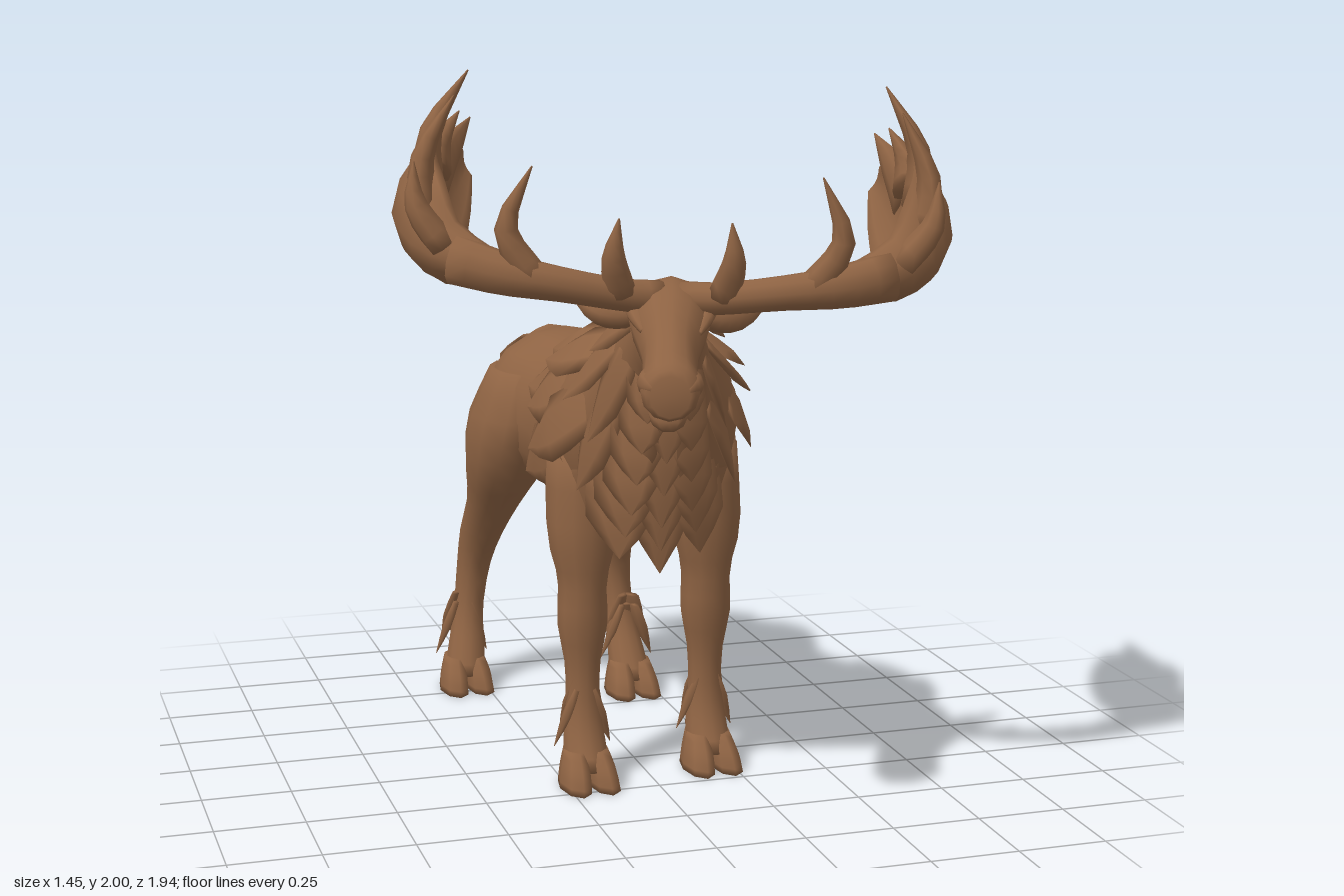
import * as THREE from 'three';

const fur = new THREE.MeshStandardMaterial({ color: 0x8e6343 });
fur.name = 'brown fur';
const V = (x, y, z) => new THREE.Vector3(x, y, z);
const X = V(1, 0, 0), Y = V(0, 1, 0), Z = V(0, 0, 1);

// Smooth loft through elliptical sections [x, y, z, radiusA, radiusB].
// With axes the rings keep a fixed plane, otherwise they follow the path with B along ref.
// curl bends the B ends of each ring towards A, the lower end more, making a scoop.
function loft(name, pts, { seg = 10, rings = pts.length * 2, axes = null, ref = Y, curl = 0 } = {}) {
  const path = new THREE.CatmullRomCurve3(pts.map(p => V(p[0], p[1], p[2])), false, 'catmullrom', 0.5);
  const radii = new THREE.CatmullRomCurve3(pts.map(p => V(p[3], p[4], 0)), false, 'catmullrom', 0.5);
  const pos = [], index = [];
  for (let i = 0; i <= rings; i++) {
    const t = i / rings, c = path.getPoint(t), r = radii.getPoint(t);
    let [A, B] = axes || [];
    if (!axes) {
      const T = path.getTangent(t);
      B = ref.clone().addScaledVector(T, -ref.dot(T)).normalize();
      A = B.clone().cross(T);
    }
    for (let j = 0; j < seg; j++) {
      const a = (j / seg) * Math.PI * 2, ra = Math.max(r.x, 0.001), rb = Math.max(r.y, 0.001);
      const sin = Math.sin(a), bend = curl * rb * sin * sin * (sin < 0 ? 1 : 0.5);
      const p = c.clone().addScaledVector(A, Math.cos(a) * ra + bend).addScaledVector(B, sin * rb);
      pos.push(p.x, p.y, p.z);
      const k = i * seg + j, n = i * seg + (j + 1) % seg;
      if (i < rings) index.push(k, n, k + seg, n, n + seg, k + seg);
    }
  }
  // end caps
  const s = pos.length / 3, last = rings * seg;
  for (const t of [0, 1]) pos.push(...path.getPoint(t).toArray());
  for (let j = 0; j < seg; j++) {
    const n = (j + 1) % seg;
    index.push(s, n, j, s + 1, last + j, last + n);
  }
  const g = new THREE.BufferGeometry();
  g.setAttribute('position', new THREE.Float32BufferAttribute(pos, 3));
  g.setIndex(index);
  g.computeVertexNormals();
  const m = new THREE.Mesh(g, fur);
  m.name = name;
  return m;
}

// Flat pointed lock of hair through three points; normal is the thin direction
function lock(name, a, b, c, w, normal) {
  return loft(name, [[...a, w * 0.8, 0.01], [...b, w, 0.014], [...c, 0.001, 0.001]],
    { seg: 6, rings: 4, ref: normal });
}

// Torso and neck: z, centre x, top, bottom, half width
const BODY = [
  [-0.82, -0.04, 1.06, 0.88, 0.06], [-0.76, -0.04, 1.13, 0.78, 0.17], [-0.62, -0.04, 1.175, 0.73, 0.25],
  [-0.5, -0.03, 1.18, 0.71, 0.25], [-0.38, -0.02, 1.16, 0.68, 0.205], [-0.2, -0.01, 1.19, 0.63, 0.225],
  [0, 0, 1.3, 0.66, 0.26], [0.12, 0, 1.32, 0.7, 0.265], [0.25, -0.01, 1.33, 0.77, 0.22],
  [0.4, -0.05, 1.41, 0.93, 0.15], [0.55, -0.08, 1.45, 1.15, 0.11], [0.63, -0.1, 1.47, 1.25, 0.085]];

function section(z) {
  let i = 0;
  while (i < BODY.length - 2 && z > BODY[i + 1][0]) i++;
  const t = THREE.MathUtils.clamp((z - BODY[i][0]) / (BODY[i + 1][0] - BODY[i][0]), 0, 1);
  return BODY[i].map((v, k) => THREE.MathUtils.lerp(v, BODY[i + 1][k], t));
}
// Point on the torso at angle a from the top, lifted by off
function onBody(z, a, off) {
  const [, cx, top, bot, rx] = section(z);
  return [cx + Math.sin(a) * (rx + off), (top + bot) / 2 + Math.cos(a) * ((top - bot) / 2 + off), z];
}

function addMane(root) {
  const mane = new THREE.Group();
  mane.name = 'mane';
  // start z, widest angle, locks each side, backward length, downward swing
  const rows = [[-0.01, 0.95, 2, 0.2, 0.1], [0.12, 1.55, 3, 0.22, 0.16], [0.27, 2.15, 3, 0.24, 0.25],
    [0.41, 2.4, 3, 0.2, 0.35], [0.54, 2.5, 3, 0.15, 0.3]];
  rows.forEach(([z, amax, n, len, swing], r) => {
    for (let i = -n; i <= n; i++) {
      const a = (i + (r % 2) * 0.25 * Math.sign(i)) / n * amax;
      const d = Math.sign(i) * swing, l = len * (1 + 0.2 * Math.sin(i * 5 + r * 3));
      const w = 0.45 * section(z)[4] * (amax / n) + 0.03;
      mane.add(lock('maneLock', onBody(z, a, -0.012), onBody(z - l * 0.5, a + d * 0.5, 0.015),
        onBody(z - l, a + d, 0.05), w, V(Math.sin(a), Math.cos(a), 0)));
    }
  });
  // hanging throat and chest hair
  for (let i = 0; i < 6; i++) {
    const z = 0.57 - i * 0.058, [, cx, , bot, rx] = section(z), k = 0.5 + i * 0.1;
    for (const s of [-1, 0, 1]) {
      const x = cx + s * rx * 0.55, drop = (s ? 0.12 : 0.17) * k;
      mane.add(lock('chestLock', [x, bot + 0.14, z - 0.01], [x, bot, z + 0.02],
        [x * 1.02, bot - drop, z + 0.025], 0.055 + i * 0.008, V(s * 0.5, 0, 1)));
    }
  }
  root.add(mane);
}

// Leg sections: y, z, half width, half depth
const FRONT = [[0.95, 0.06, 0.09, 0.14], [0.72, 0.085, 0.1, 0.105], [0.58, 0.085, 0.07, 0.08],
  [0.46, 0.085, 0.073, 0.068], [0.34, 0.08, 0.052, 0.05], [0.22, 0.08, 0.05, 0.048],
  [0.13, 0.09, 0.06, 0.06], [0.05, 0.115, 0.065, 0.075]];
const HIND = [[1.06, -0.58, 0.09, 0.15], [0.9, -0.57, 0.135, 0.2], [0.75, -0.575, 0.12, 0.15],
  [0.63, -0.625, 0.085, 0.105], [0.5, -0.71, 0.065, 0.095], [0.38, -0.735, 0.052, 0.066],
  [0.24, -0.705, 0.048, 0.05], [0.13, -0.655, 0.058, 0.06], [0.05, -0.62, 0.065, 0.075]];

function addLeg(root, name, secs, xTop, xFoot, shift) {
  const leg = new THREE.Group();
  leg.name = name;
  const top = secs[0][0];
  const pts = secs.map(([y, z, rx, rz]) => {
    const t = 1 - y / top;
    return [THREE.MathUtils.lerp(xTop, xFoot, t), y, z + shift * t, rx, rz];
  });
  leg.add(loft(name + 'Limb', pts, { axes: [X, Z], seg: 12 }));
  const [x, , z] = pts[pts.length - 1];
  // cloven hoof
  for (const s of [-1, 1]) leg.add(loft('hoofToe', [[x + s * 0.032, 0.1, z - 0.01, 0.03, 0.06],
    [x + s * 0.038, 0.05, z + 0.015, 0.04, 0.085], [x + s * 0.042, 0, z + 0.025, 0.043, 0.1]],
  { axes: [X, Z], seg: 8 }));
  // shaggy fetlock
  for (let i = 0; i < 5; i++) {
    const a = Math.PI + (i - 2) * 0.65, c = Math.cos(a), s = Math.sin(a), h = i % 2 ? 0.03 : 0;
    leg.add(lock('fetlockHair', [x + s * 0.02, 0.27 + h, z - 0.02 + c * 0.02],
      [x + s * 0.05, 0.19 + h, z - 0.02 + c * 0.06], [x + s * 0.085, 0.1 + h, z - 0.02 + c * 0.1], 0.035, V(s, 0, c)));
  }
  root.add(leg);
}

function addAntler(head, s) {
  const antler = new THREE.Group();
  antler.name = s > 0 ? 'leftAntler' : 'rightAntler';
  const part = (name, pts, opt) => antler.add(loft(name, pts.map(p => [p[0] * s, ...p.slice(1)]), opt));
  part('beam', [[0.03, -0.01, 0.04, 0.045, 0.045], [0.13, 0, 0.08, 0.04, 0.042], [0.28, 0.025, 0.115, 0.042, 0.045],
    [0.42, 0.045, 0.11, 0.048, 0.055], [0.55, 0.07, 0.06, 0.05, 0.065]]);
  part('palm', [[0.46, 0.05, 0.1, 0.035, 0.05], [0.6, 0.085, 0.03, 0.045, 0.095], [0.67, 0.14, -0.09, 0.045, 0.155],
    [0.69, 0.16, -0.24, 0.042, 0.175], [0.67, 0.18, -0.38, 0.035, 0.16], [0.63, 0.21, -0.5, 0.028, 0.11],
    [0.58, 0.25, -0.59, 0.012, 0.04]], { seg: 14, curl: 0.7 * s });
  // upright tines, broad at the palm
  const tines = [
    [[0.13, 0.01, 0.09], [0.15, 0.1, 0.14], [0.14, 0.2, 0.15], 0.04],
    [[0.34, 0.03, 0.11], [0.42, 0.16, 0.13], [0.36, 0.32, 0.14], 0.048],
    [[0.58, 0.1, 0.04], [0.65, 0.2, 0.05], [0.66, 0.31, 0.04], 0.06],
    [[0.635, 0.17, -0.05], [0.645, 0.31, -0.06], [0.57, 0.47, -0.07], 0.085],
    [[0.64, 0.22, -0.24], [0.64, 0.36, -0.27], [0.55, 0.52, -0.31], 0.11],
    [[0.63, 0.24, -0.37], [0.625, 0.32, -0.41], [0.58, 0.4, -0.46], 0.085]];
  for (const [a, b, c, w] of tines)
    part('tine', [[...a, 0.04, w], [...b, 0.03, w * 0.7], [...c, 0.002, 0.002]], { seg: 8, ref: Z });
  // backward tines
  for (const [a, b, c] of [[[0.63, 0.22, -0.42], [0.605, 0.29, -0.53], [0.56, 0.37, -0.63]],
    [[0.65, 0.11, -0.34], [0.63, 0.12, -0.46], [0.59, 0.18, -0.6]]])
    part('backTine', [[...a, 0.03, 0.08], [...b, 0.027, 0.05], [...c, 0.002, 0.002]], { seg: 8 });
  head.add(antler);
}

function addHead(root) {
  const head = new THREE.Group();
  head.name = 'head';
  head.position.set(-0.09, 1.46, 0.62);
  head.rotation.set(0, -0.29, -0.04);
  head.add(loft('skull', [[0, -0.08, -0.1, 0.08, 0.09], [0, -0.07, 0, 0.105, 0.11], [0, -0.085, 0.1, 0.095, 0.1],
    [0, -0.135, 0.19, 0.07, 0.088], [0, -0.175, 0.265, 0.07, 0.08], [0, -0.195, 0.33, 0.075, 0.075],
    [0, -0.205, 0.36, 0.05, 0.052]], { axes: [X, Y], seg: 12 }));
  head.add(loft('lowerJaw', [[0, -0.15, 0.0, 0.07, 0.07], [0, -0.185, 0.1, 0.06, 0.075],
    [0, -0.23, 0.2, 0.055, 0.06], [0, -0.265, 0.265, 0.05, 0.045], [0, -0.28, 0.3, 0.025, 0.02]], { axes: [X, Y] }));
  for (const s of [-1, 1]) {
    addAntler(head, s);
    head.add(loft('ear', [[s * 0.07, -0.06, -0.02, 0.025, 0.025], [s * 0.13, -0.07, -0.05, 0.04, 0.045],
      [s * 0.19, -0.065, -0.08, 0.035, 0.04], [s * 0.26, -0.03, -0.12, 0.002, 0.002]], { seg: 8, ref: Z }));
    head.add(loft('browRidge', [[s * 0.085, -0.04, 0.0, 0.01, 0.01], [s * 0.09, -0.045, 0.07, 0.025, 0.022],
      [s * 0.07, -0.08, 0.15, 0.008, 0.008]], { seg: 8 }));
    head.add(loft('nostril', [[s * 0.055, -0.16, 0.27, 0.012, 0.015], [s * 0.055, -0.18, 0.315, 0.028, 0.032],
      [s * 0.04, -0.19, 0.355, 0.01, 0.012]], { seg: 8 }));
  }
  root.add(head);
}

function addTail(root) {
  const tail = new THREE.Group();
  tail.name = 'tail';
  tail.add(loft('tailCore', [[-0.04, 1.12, -0.7, 0.07, 0.05], [-0.05, 1.06, -0.81, 0.08, 0.06],
    [-0.07, 0.95, -0.87, 0.085, 0.065], [-0.08, 0.78, -0.9, 0.01, 0.01]], { ref: Z }));
  for (let i = 0; i < 9; i++) {
    const s = (i % 3) - 1, r = Math.floor(i / 3), y = 1.12 - r * 0.09, z = -0.78 - r * 0.04;
    const x = -0.05 - r * 0.01 + s * 0.05;
    tail.add(lock('tailLock', [x, y, z], [x + s * 0.03, y - 0.06, z - 0.08],
      [x + s * 0.05, y - 0.14 - r * 0.035, z - 0.14 + r * 0.03], 0.055, V(s * 0.4, 0.3, -1)));
  }
  root.add(tail);
}

export function createModel() {
  const root = new THREE.Group();
  root.name = 'moose';
  root.add(loft('torso', BODY.map(([z, x, t, b, w]) => [x, (t + b) / 2, z, w, (t - b) / 2]),
    { axes: [X, Y], seg: 16, rings: 26 }));
  addMane(root);
  addLeg(root, 'leftFrontLeg', FRONT, 0.185, 0.19, 0);
  addLeg(root, 'rightFrontLeg', FRONT, -0.18, -0.19, 0.055);
  addLeg(root, 'leftHindLeg', HIND, 0.11, 0.18, 0);
  addLeg(root, 'rightHindLeg', HIND, -0.18, -0.32, -0.2);
  addTail(root);
  addHead(root);
  return root;
}
